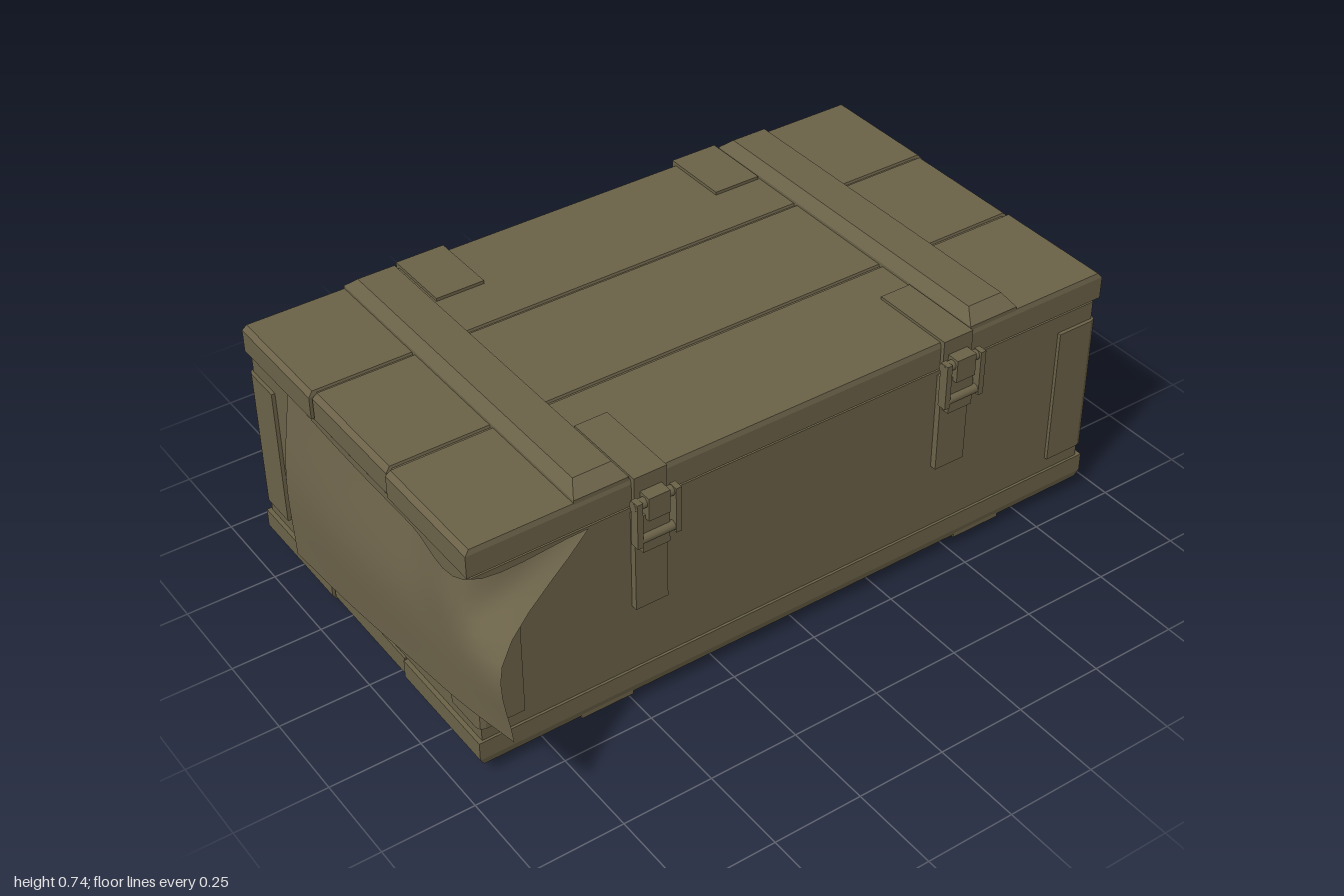
import * as THREE from 'three';

const olive = new THREE.MeshStandardMaterial({ color: 0x6b6248 });
olive.name = 'olivePaint';
const clothOlive = new THREE.MeshStandardMaterial({ color: 0x6b6249, side: THREE.DoubleSide });
clothOlive.name = 'oliveCloth';

function add(parent, name, geo, mat = olive) {
  const m = new THREE.Mesh(geo, mat);
  m.name = name;
  parent.add(m);
  return m;
}

// Box given by its limits on each axis
function box(parent, name, [x0, x1], [y0, y1], [z0, z1]) {
  const m = add(parent, name, new THREE.BoxGeometry(x1 - x0, y1 - y0, z1 - z0));
  m.position.set((x0 + x1) / 2, (y0 + y1) / 2, (z0 + z1) / 2);
  return m;
}

// Box whose upper edges are chamfered: straight below `cut`, inset above it
function chamferBox(parent, name, [x0, x1], [y0, y1], [z0, z1], drop, inX, inZ) {
  const w = x1 - x0, h = y1 - y0, d = z1 - z0;
  const g = new THREE.BoxGeometry(w, h, d, 1, 2, 1).toNonIndexed();
  const p = g.attributes.position;
  for (let i = 0; i < p.count; i++) {
    const y = p.getY(i);
    if (y > h * 0.4) p.setXYZ(i, p.getX(i) * (1 - 2 * inX / w), y, p.getZ(i) * (1 - 2 * inZ / d));
    else if (y > -h * 0.4) p.setY(i, h / 2 - drop);
  }
  g.computeVertexNormals();
  const m = add(parent, name, g);
  m.position.set((x0 + x1) / 2, (y0 + y1) / 2, (z0 + z1) / 2);
  return m;
}

function rod(parent, name, r, len, axis, pos, sides = 12) {
  const g = new THREE.CylinderGeometry(r, r, len, sides);
  if (axis === 'x') g.rotateZ(Math.PI / 2);
  if (axis === 'z') g.rotateX(Math.PI / 2);
  add(parent, name, g).position.set(...pos);
}

// Carrying handle on one end, built facing +x around its own origin (y and z centre)
function createHandle() {
  const h = new THREE.Group();
  h.name = 'carryingHandle';
  // Shapes are drawn in (z, y) and extruded outward along x
  const plate = (name, shape, depth, x) => {
    const g = new THREE.ExtrudeGeometry(shape, { depth, bevelEnabled: false });
    g.rotateY(Math.PI / 2);
    add(h, name, g).position.x = x;
  };
  const poly = pts => pts.map(p => new THREE.Vector2(...p));
  plate('handleBackPlate', new THREE.Shape(poly([[-0.185, -0.15], [0.185, -0.15],
    [0.185, 0.12], [0.14, 0.13], [0.07, 0.15], [0, 0.155], [-0.07, 0.15], [-0.14, 0.13], [-0.185, 0.12]])), 0.014, 0);
  const bail = new THREE.Shape(poly([[-0.17, -0.155], [0.17, -0.155], [0.185, -0.14], [0.185, 0.04],
    [-0.185, 0.04], [-0.185, -0.14]]));
  bail.holes.push(new THREE.Path(poly([[-0.155, -0.125], [-0.155, 0.01], [0.155, 0.01], [0.155, -0.125]])));
  plate('handleBail', bail, 0.025, 0.018);
  rod(h, 'handleGrip', 0.035, 0.29, 'z', [0.02, 0.035, 0], 16);
  for (const s of [-1, 1]) {
    box(h, 'handleLug', [0, 0.04], [0.03, 0.08], [s * 0.155 - 0.018, s * 0.155 + 0.018]);
    rod(h, 'handleBolt', 0.021, 0.014, 'x', [0.02, 0.096, s * 0.1], 6);
    rod(h, 'handleBolt', 0.02, 0.008, 'x', [0.016, -0.04, s * 0.135], 6);
  }
  return h;
}

export function createModel() {
  const root = new THREE.Group();
  root.name = 'storageCrate';

  // Body walls and a recessed band under the lid
  box(root, 'crateBody', [-0.93, 0.94], [0.1, 0.612], [-0.622, 0.428]);
  box(root, 'lidSeal', [-0.915, 0.925], [0.61, 0.64], [-0.61, 0.415]);

  // Three planks each for lid and base
  const planks = [[-0.63, -0.283], [-0.277, 0.077], [0.083, 0.435]];
  planks.forEach((z, i) => {
    const e = i === 1 ? 0.006 : 0;
    chamferBox(root, 'lidPlank', [-0.942 + e, 0.955 - e], [0.623, 0.7], z, 0.014, 0.012, 0.004);
    const b = chamferBox(root, 'basePlank', [-0.942 + e, 0.955 - e], [0.04, 0.113], z, 0.02, 0.012, 0.004);
    b.rotation.x = Math.PI;
  });
  box(root, 'lidCore', [-0.92, 0.93], [0.63, 0.693], [-0.61, 0.415]);
  box(root, 'baseCore', [-0.92, 0.93], [0.047, 0.11], [-0.61, 0.415]);

  // Cross battens over the lid and under the base
  for (const x of [-0.58, 0.59]) {
    const w = [x - 0.075, x + 0.075];
    chamferBox(root, 'lidBatten', w, [0.67, 0.74], [-0.627, 0.432], 0.032, 0.022, 0.037);
    chamferBox(root, 'baseBatten', w, [0, 0.07], [-0.627, 0.432], 0.032, 0.022, 0.037).rotation.x = Math.PI;
  }

  // Corner guards wrapped round the four upright edges
  for (const sx of [-1, 1]) for (const sz of [-1, 1]) {
    const cx = 0.005 + sx * 0.945, cz = -0.097 + sz * 0.535;
    const P = (a, b) => new THREE.Vector2(cx - sx * a, -(cz - sz * b));
    const shape = new THREE.Shape([P(0.125, 0), P(0.018, 0), P(0.005, 0.005), P(0, 0.018), P(0, 0.125),
      P(0.02, 0.125), P(0.02, 0.02), P(0.125, 0.02)]);
    const g = new THREE.ExtrudeGeometry(shape, { depth: 0.405, bevelEnabled: false });
    g.rotateX(-Math.PI / 2);
    add(root, 'cornerGuard', g).position.y = 0.155;
  }

  // Front latches
  for (const x of [-0.455, 0.465]) {
    const latch = new THREE.Group();
    latch.name = 'frontLatch';
    root.add(latch);
    const w = [x - 0.046, x + 0.046];
    box(latch, 'latchTopPlate', w, [0.695, 0.708], [0.2, 0.446]);
    box(latch, 'latchLip', w, [0.63, 0.708], [0.43, 0.446]);
    box(latch, 'latchStrap', w, [0.312, 0.6], [0.42, 0.446]);
    box(latch, 'latchLever', [x - 0.038, x + 0.038], [0.5, 0.61], [0.44, 0.468]);
    rod(latch, 'latchPin', 0.014, 0.125, 'x', [x, 0.645, 0.463]);
    rod(latch, 'latchPin', 0.013, 0.12, 'x', [x, 0.545, 0.468]);
    for (const s of [-1, 1])
      box(latch, 'latchLink', [x + s * 0.054 - 0.008, x + s * 0.054 + 0.008], [0.53, 0.66], [0.455, 0.482]);
    box(latch, 'latchHook', [x - 0.03, x + 0.03], [0.6, 0.665], [0.44, 0.482]);
  }

  // Back hinges
  for (const x of [-0.425, 0.44]) {
    const hinge = new THREE.Group();
    hinge.name = 'backHinge';
    root.add(hinge);
    const w = [x - 0.07, x + 0.07];
    box(hinge, 'hingeTopPlate', w, [0.695, 0.709], [-0.642, -0.44]);
    box(hinge, 'hingeLidFlap', w, [0.63, 0.709], [-0.642, -0.625]);
    box(hinge, 'hingeStrap', [x - 0.055, x + 0.055], [0.33, 0.62], [-0.638, -0.615]);
    rod(hinge, 'hingeBarrel', 0.017, 0.15, 'x', [x, 0.62, -0.645]);
  }

  // Handles on both ends
  const right = createHandle();
  right.position.set(0.94, 0.345, -0.095);
  root.add(right);
  const left = createHandle();
  left.rotation.y = Math.PI;
  left.scale.x = 0.9;
  left.position.set(-0.93, 0.345, -0.095);
  root.add(left);

  // Cloth caught under the lid, draped over one end: columns run top to bottom
  const columns = [
    [[-0.935, 0.615, -0.42], [-0.982, 0.4, -0.385], [-0.993, 0.18, -0.35]],
    [[-0.945, 0.62, -0.1], [-0.995, 0.42, -0.08], [-0.998, 0.22, -0.05]],
    [[-0.945, 0.62, 0.2], [-0.99, 0.45, 0.21], [-0.993, 0.255, 0.22]],
    [[-0.945, 0.62, 0.43], [-0.982, 0.47, 0.45], [-0.988, 0.285, 0.45]],
    [[-0.62, 0.615, 0.437], [-0.965, 0.505, 0.61], [-0.975, 0.32, 0.66]],
  ].map(c => new THREE.CatmullRomCurve3(c.map(p => new THREE.Vector3(...p))));
  const U = 24, V = 10, pos = [], idx = [];
  for (let j = 0; j <= V; j++) {
    const row = new THREE.CatmullRomCurve3(columns.map(c => c.getPoint(j / V)));
    for (let i = 0; i <= U; i++) pos.push(...row.getPoint(i / U).toArray());
  }
  for (let j = 0; j < V; j++) for (let i = 0; i < U; i++) {
    const a = j * (U + 1) + i, b = a + U + 1;
    idx.push(a, b, a + 1, b, b + 1, a + 1);
  }
  const cloth = new THREE.BufferGeometry();
  cloth.setAttribute('position', new THREE.Float32BufferAttribute(pos, 3));
  cloth.setIndex(idx);
  cloth.computeVertexNormals();
  add(root, 'drapedCloth', cloth, clothOlive);

  return root;
}
